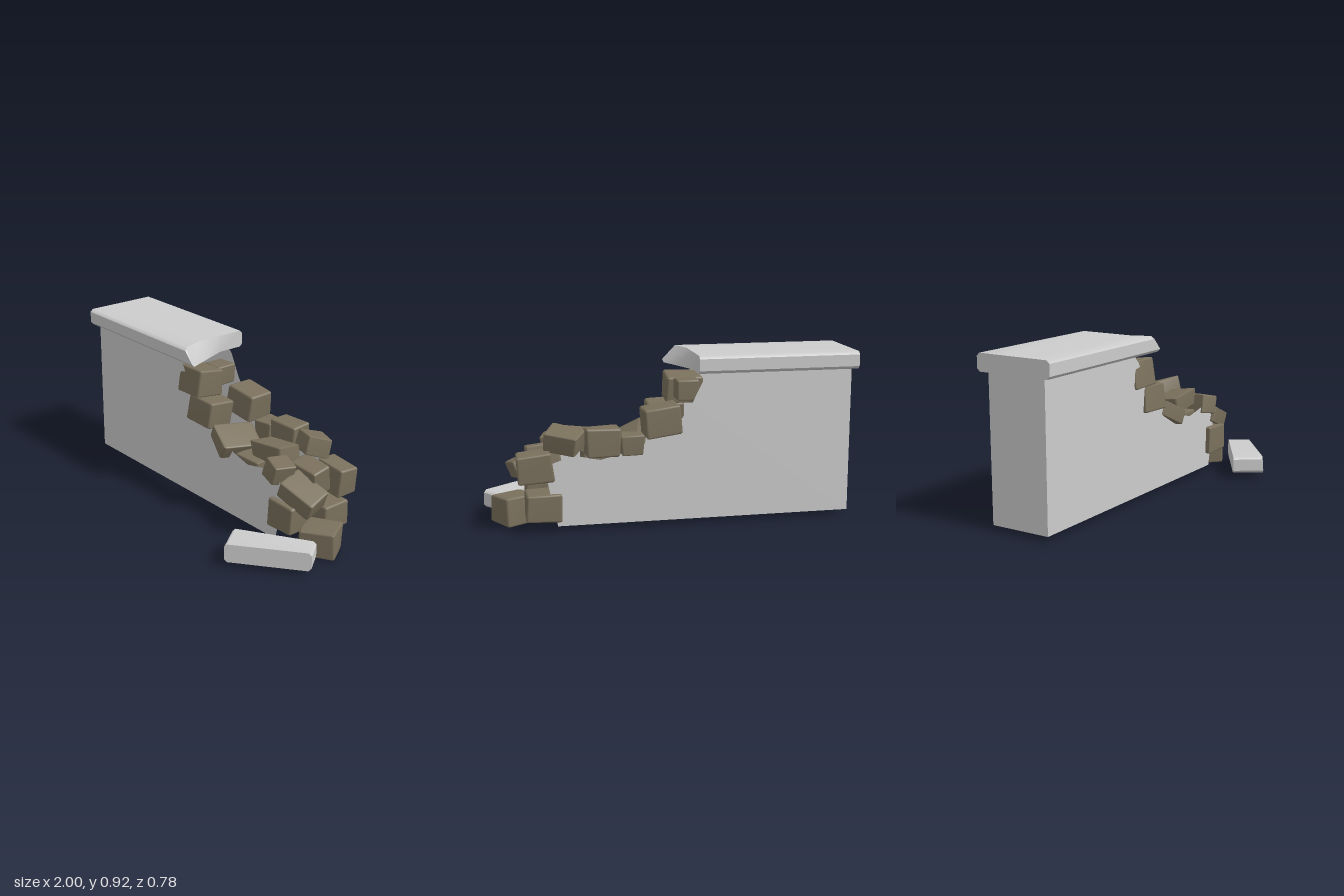
import * as THREE from 'three';
import { mergeVertices } from 'three/addons/utils/BufferGeometryUtils.js';
import { RoundedBoxGeometry } from 'three/addons/geometries/RoundedBoxGeometry.js';

const paleStone = new THREE.MeshStandardMaterial({ name: 'paleStone', color: 0xcccccc, side: THREE.DoubleSide });
const brownRock = new THREE.MeshStandardMaterial({ name: 'brownRock', color: 0x7a705c });

let seed = 7;
const rand = () => (seed = (seed * 16807) % 2147483647) / 2147483647;

function add(group, name, geometry, material) {
  const mesh = new THREE.Mesh(geometry, material);
  mesh.name = name;
  group.add(mesh);
  return mesh;
}

// Coping stone: slices along z, each [z, left x, right x at top, right x at bottom], chamfered on both long edges
function copingGeometry(slices, y0, y1) {
  const last = slices.length - 1;
  const geo = new THREE.BoxGeometry(1, 1, 1, 1, 1, last);
  const p = geo.attributes.position;
  for (let i = 0; i < p.count; i++) {
    const k = Math.round((p.getZ(i) + 0.5) * last);
    const [z, left, top, bottom] = slices[k];
    const upper = p.getY(i) > 0;
    const inset = k === 0 || k === last ? 0.016 : 0;
    const x = p.getX(i) < 0 ? left : upper ? top : bottom;
    p.setXYZ(i, x, upper ? y1 - inset : y0 + inset, z);
  }
  geo.computeVertexNormals();
  return geo;
}

// Rough stone: softened box with each corner pulled in a little
function rockGeometry([w, h, d]) {
  const geo = new RoundedBoxGeometry(1, 1, 1, 1, 0.07);
  geo.deleteAttribute('normal');
  geo.deleteAttribute('uv');
  const pull = Array.from({ length: 8 }, () => [rand(), rand(), rand()].map((r) => 1 - 0.16 * r));
  const p = geo.attributes.position;
  for (let i = 0; i < p.count; i++) {
    const v = [p.getX(i), p.getY(i), p.getZ(i)];
    const s = [0, 0, 0];
    for (let c = 0; c < 8; c++) {
      const weight = v.reduce((m, q, a) => m * ((c >> a) & 1 ? 0.5 + q : 0.5 - q), 1);
      for (let a = 0; a < 3; a++) s[a] += weight * pull[c][a];
    }
    p.setXYZ(i, v[0] * s[0] * w, v[1] * s[1] * h, v[2] * s[2] * d);
  }
  const merged = mergeVertices(geo, 1e-4);
  merged.computeVertexNormals();
  return merged;
}

// Stone sizes that repeat through the rubble
const block = [0.215, 0.165, 0.18];
const brick = [0.2, 0.17, 0.135];
const half = [0.195, 0.115, 0.155];
const slab = [0.24, 0.105, 0.17];
const longSlab = [0.19, 0.1, 0.25];
const chip = [0.13, 0.12, 0.13];

export function createModel() {
  const model = new THREE.Group();
  model.name = 'brokenWall';

  // Wall: two sheets with a crumbled right edge and one end sheet, hollow between
  const outline = [
    [-0.975, 0.03], [0.63, 0.03], [0.68, 0.27], [0.66, 0.37], [0.54, 0.41], [0.4, 0.38],
    [0.21, 0.43], [-0.02, 0.56], [-0.09, 0.66], [-0.15, 0.78], [-0.2, 0.83], [-0.975, 0.83],
  ].map(([x, y]) => new THREE.Vector2(x, y));
  const sheet = new THREE.ShapeGeometry(new THREE.Shape(outline));
  add(model, 'wallFront', sheet, paleStone).position.z = 0.02;
  add(model, 'wallBack', sheet, paleStone).position.z = -0.33;
  const end = add(model, 'wallEnd', new THREE.PlaneGeometry(0.35, 0.8), paleStone);
  end.position.set(-0.975, 0.43, -0.155);
  end.rotation.y = -Math.PI / 2;

  // Coping on top, broken obliquely at its right end
  add(model, 'coping', copingGeometry([
    [-0.38, -1, -0.12, -0.12], [-0.364, -1, -0.12, -0.12], [-0.22, -1, -0.12, -0.12],
    [-0.06, -1, -0.12, -0.06], [0.054, -1, -0.08, -0.015], [0.07, -1, -0.07, -0.01],
  ], 0.825, 0.92), paleStone);

  // Fallen piece of coping on the ground
  const fallen = add(model, 'fallenCoping', copingGeometry([
    [-0.225, -0.065, 0.065, 0.07], [-0.209, -0.065, 0.065, 0.07],
    [0.209, -0.09, 0.085, 0.09], [0.225, -0.09, 0.085, 0.09],
  ], 0.03, 0.13), paleStone);
  fallen.position.set(0.775, 0, 0.185);
  fallen.rotation.y = -0.95;

  // Loose stones down the break
  const rubble = new THREE.Group();
  rubble.name = 'rubble';
  model.add(rubble);
  const rock = (name, size, x, y, z, rx = 0, ry = 0, rz = 0) => {
    const mesh = add(rubble, name, rockGeometry(size), brownRock);
    mesh.position.set(x, y, z);
    mesh.rotation.set(rx, ry, rz);
  };
  // under the coping
  rock('topFrontRock', block, -0.095, 0.705, -0.055, -0.11);
  rock('topBackRock', chip, -0.09, 0.715, -0.195);
  rock('upperFrontRock', block, 0, 0.555, -0.045, -0.11, 0, -0.05);
  rock('upperBackRock', block, 0.065, 0.57, -0.28, 0, 0, -0.15);
  // along the slope
  rock('backChip', chip, 0.23, 0.45, -0.29);
  rock('tiltedSlab', longSlab, 0.205, 0.435, -0.065, -0.1, -0.2, -0.5);
  rock('middleBackRock', brick, 0.385, 0.47, -0.295);
  rock('middleFrontRock', half, 0.375, 0.355, -0.055);
  rock('middleSlab', slab, 0.465, 0.445, -0.12, -0.1, 0, 0.12);
  rock('turnedBackRock', half, 0.585, 0.485, -0.285, -0.28, -0.5);
  rock('frontChip', chip, 0.61, 0.415, -0.01, -0.1, -0.25, -0.25);
  // at the end of the wall
  rock('endMiddleRock', brick, 0.69, 0.37, -0.165, 0.15, 0, -0.1);
  rock('endBackRock', brick, 0.745, 0.35, -0.3, 0, 0, -0.1);
  rock('endSlab', slab, 0.75, 0.32, -0.05, 0.18, 0.1, -0.4);
  // near the ground
  rock('lowFrontRock', brick, 0.685, 0.19, -0.01);
  rock('lowBackRock', block, 0.7, 0.135, -0.272);
  rock('groundRock', block, 0.845, 0.08, -0.097, 0, 0.57);
  return model;
}
